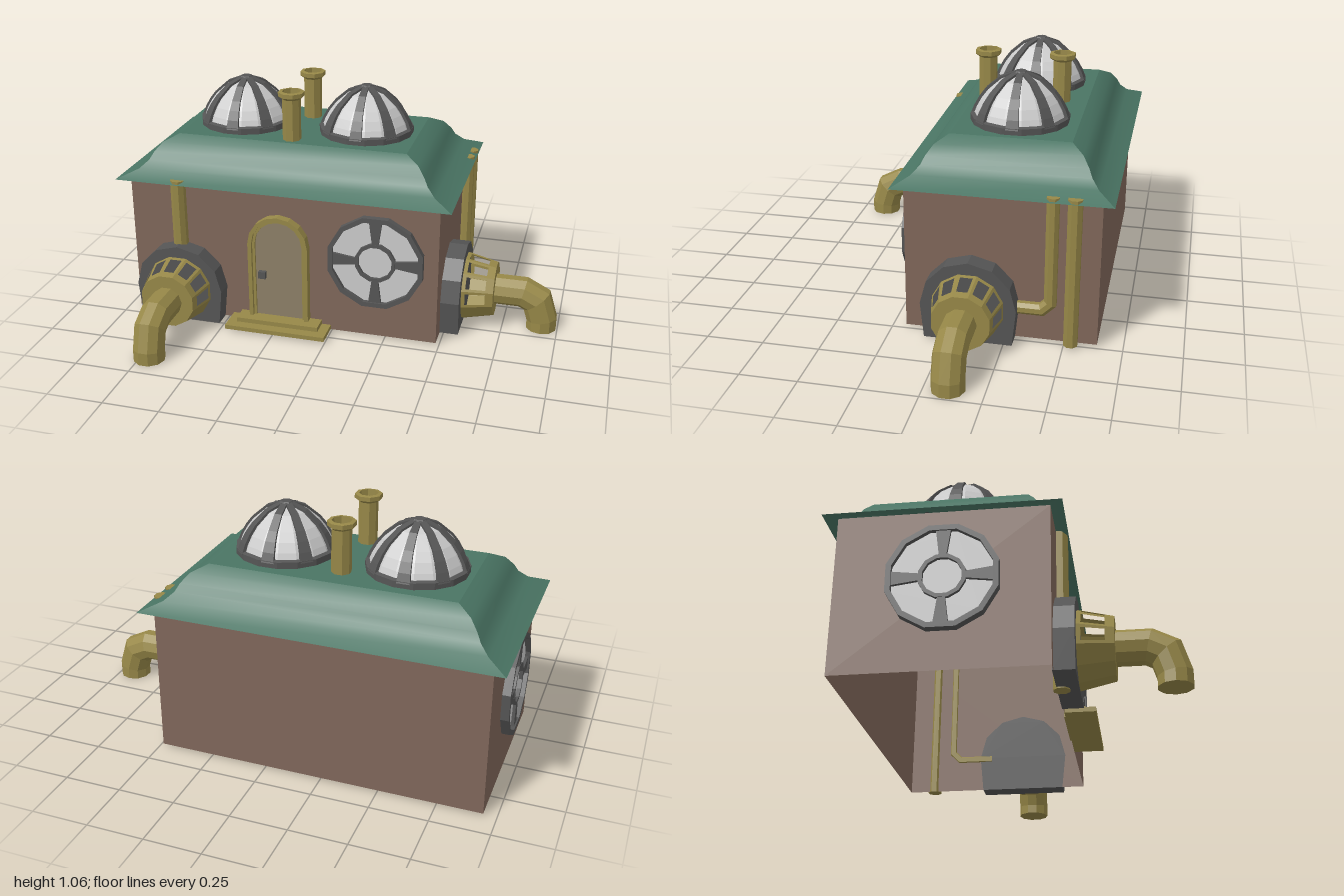
import * as THREE from 'three';

const mat = (color, extra = {}) => new THREE.MeshStandardMaterial({ color, flatShading: true, side: THREE.DoubleSide, ...extra });
const BRICK = mat(0x80675a), GREEN = mat(0x4a7564, { flatShading: false }), BRASS = mat(0x978848);
const IRON = mat(0x555555), GLASS = mat(0xcccccc), DOOR = mat(0x8d8068);
const V = (x, y, z) => new THREE.Vector3(x, y, z);

function add(parent, name, geometry, material, x = 0, y = 0, z = 0) {
  const m = new THREE.Mesh(geometry, material);
  m.name = name;
  m.position.set(x, y, z);
  parent.add(m);
  return m;
}

// Geometry from a list of four-cornered faces
function quads(list) {
  const pts = list.flatMap(([a, b, c, d]) => [a, b, c, a, c, d]);
  const g = new THREE.BufferGeometry().setFromPoints(pts);
  g.computeVertexNormals();
  return g;
}

// Mitred pipe along [y, z] points in a plane of constant x
function pipe(path, r, sides = 8) {
  const p = path.map(([y, z]) => V(0, y, z)), B = V(1, 0, 0), n = p.length;
  const rings = p.map((c, i) => {
    const d0 = p[Math.max(i, 1)].clone().sub(p[Math.max(i, 1) - 1]).normalize();
    const j = Math.min(i, n - 2), d1 = p[j + 1].clone().sub(p[j]).normalize();
    const t = d0.clone().add(d1).normalize(), N = B.clone().cross(t), k = r / t.dot(d0);
    return Array.from({ length: sides }, (_, s) => {
      const a = (s + 0.5) / sides * Math.PI * 2;
      return c.clone().addScaledVector(N, Math.cos(a) * k).addScaledVector(B, Math.sin(a) * r);
    });
  });
  const faces = [];
  for (let s = 0; s < sides; s++) {
    const e = (s + 1) % sides;
    for (let i = 0; i < n - 1; i++) faces.push([rings[i][s], rings[i][e], rings[i + 1][e], rings[i + 1][s]]);
    faces.push([p[n - 1], rings[n - 1][s], rings[n - 1][e], p[n - 1]]);
    faces.push([p[0], rings[0][e], rings[0][s], p[0]]);
  }
  return quads(faces);
}

const polygon = (r, sides, turn = 0) => Array.from({ length: sides }, (_, i) => {
  const a = (i + turn) / sides * Math.PI * 2;
  return new THREE.Vector2(Math.cos(a) * r, Math.sin(a) * r);
});

function extrude(outer, depth, hole) {
  const s = new THREE.Shape(outer);
  if (hole) s.holes.push(new THREE.Path(hole));
  return new THREE.ExtrudeGeometry(s, { depth, bevelEnabled: false });
}

// Roof: four curved slopes that meet at sharp hips, and a flat top
function roof(group) {
  const g = new THREE.Group();
  g.name = 'roof';
  const profile = [[0, 0.665], [0.36, 0.7], [0.52, 0.735], [0.6, 0.77], [0.74, 0.81], [1, 0.84]];
  const signs = [[-1, 1], [1, 1], [1, -1], [-1, -1]];
  for (let k = 0; k < 4; k++) {
    const pts = [], index = [];
    profile.forEach(([t, y], i) => {
      for (const [sx, sz] of [signs[k], signs[(k + 1) % 4]]) pts.push(V(sx * (0.77 - 0.24 * t), y, sz * (0.465 - 0.205 * t)));
      const a = i * 2;
      if (i < profile.length - 1) index.push(a, a + 1, a + 3, a, a + 3, a + 2);
    });
    const geo = new THREE.BufferGeometry().setFromPoints(pts);
    geo.setIndex(index);
    geo.computeVertexNormals();
    add(g, 'roofSlope', geo, GREEN);
  }
  add(g, 'roofTop', new THREE.PlaneGeometry(1.06, 0.52).rotateX(-Math.PI / 2), GREEN, 0, 0.84, 0);
  g.position.set(-0.23, 0, -0.225);
  group.add(g);
}

// Glass dome with an iron rim and eight ribs
function dome() {
  const g = new THREE.Group();
  g.name = 'dome';
  const profile = [[0.215, 0.02], [0.2, 0.06], [0.178, 0.1], [0.15, 0.137], [0.09, 0.19], [0.02, 0.218]];
  const glass = [...profile.map(([r, y]) => new THREE.Vector2(r * 0.95, y * 0.96)), new THREE.Vector2(0, 0.21)];
  add(g, 'domeGlass', new THREE.LatheGeometry(glass, 16, Math.PI / 16), GLASS);
  const rim = [[0.205, 0], [0.217, 0], [0.217, 0.028], [0.195, 0.034]].map(([r, y]) => new THREE.Vector2(r, y));
  add(g, 'domeRim', new THREE.LatheGeometry(rim, 16, Math.PI / 16), IRON);
  const faces = [];
  const sections = profile.map(([r, y], i) => {
    const w = 0.028 - 0.003 * i;
    return [V(r * 0.93, y * 0.94, w), V(r, y, w), V(r, y, -w), V(r * 0.93, y * 0.94, -w)];
  });
  for (let i = 0; i < sections.length - 1; i++) {
    for (let k = 0; k < 3; k++) faces.push([sections[i][k], sections[i][k + 1], sections[i + 1][k + 1], sections[i + 1][k]]);
  }
  const rib = quads(faces);
  for (let i = 0; i < 8; i++) add(g, 'domeRib', rib, IRON).rotation.y = i * Math.PI / 4;
  add(g, 'domeHub', new THREE.CylinderGeometry(0.025, 0.035, 0.012, 8), IRON, 0, 0.214, 0);
  return g;
}

// Round window with a small inner ring and four tapered spokes
function roundWindow() {
  const g = new THREE.Group();
  g.name = 'roundWindow';
  add(g, 'windowFrame', extrude(polygon(0.222, 12, 0.5), 0.035, polygon(0.2, 12, 0.5)), IRON);
  add(g, 'windowGlass', extrude(polygon(0.202, 12, 0.5), 0.015), GLASS);
  add(g, 'windowHub', extrude(polygon(0.093, 12, 0.5), 0.03, polygon(0.077, 12, 0.5)), IRON);
  const spoke = extrude([[0.085, -0.014], [0.205, -0.03], [0.205, 0.03], [0.085, 0.014]].map(p => new THREE.Vector2(...p)), 0.028);
  for (let i = 0; i < 4; i++) add(g, 'windowSpoke', spoke, IRON).rotation.z = i * Math.PI / 2;
  return g;
}

// Outlet: iron collar, tapered cage with open upper panels, bent pipe
function outlet() {
  const g = new THREE.Group(), cy = 0.17;
  g.name = 'outlet';
  const collar = polygon(0.206, 12).slice(0, 7).map(p => p.setY(p.y + cy));
  collar.push(new THREE.Vector2(-0.19, 0.01), new THREE.Vector2(0.19, 0.01));
  add(g, 'collar', extrude(collar, 0.085), IRON);
  const big = polygon(0.157, 12, -0.5), small = polygon(0.126, 12, -0.5), faces = [];
  for (let i = 0; i < 12; i++) {
    const j = (i + 1) % 12;
    const at = (u, v) => {
      const p = big[i].clone().lerp(big[j], u).lerp(small[i].clone().lerp(small[j], u), v);
      return V(p.x, p.y + cy, 0.085 + v * 0.14);
    };
    const patch = (u0, u1, v0, v1) => faces.push([at(u0, v0), at(u1, v0), at(u1, v1), at(u0, v1)]);
    if (i > 6) patch(0, 1, 0, 1);
    else {
      patch(0, 1, 0, 0.12);
      patch(0, 1, 0.75, 1);
      patch(0, 0.16, 0.12, 0.75);
      patch(0.84, 1, 0.12, 0.75);
    }
  }
  add(g, 'cage', quads(faces), BRASS);
  add(g, 'cageEnd', extrude(polygon(0.126, 12, -0.5), 0.012), BRASS, 0, cy, 0.213);
  add(g, 'outletPipe', pipe([[cy, 0.215], [cy, 0.35], [0.137, 0.415], [0.05, 0.442], [0, 0.442]], 0.07, 10), BRASS);
  return g;
}

// Arched outline for the door and its frame
function arch(w, top, bottom = 0.03) {
  const pts = [new THREE.Vector2(-w, bottom), new THREE.Vector2(w, bottom)];
  for (let i = 0; i <= 8; i++) {
    const a = i / 8 * Math.PI;
    pts.push(new THREE.Vector2(Math.cos(a) * w, top - w + Math.sin(a) * w));
  }
  return pts;
}

function entrance(group) {
  const g = new THREE.Group();
  g.name = 'entrance';
  add(g, 'doorFrame', extrude(arch(0.14, 0.555), 0.05, arch(0.122, 0.537, 0.031)), BRASS, 0, 0, -0.01);
  add(g, 'doorFrameInner', extrude(arch(0.124, 0.539), 0.035, arch(0.11, 0.525, 0.031)), BRASS, 0, 0, -0.01);
  add(g, 'door', extrude(arch(0.112, 0.527), 0.015), DOOR);
  add(g, 'doorHandle', new THREE.BoxGeometry(0.034, 0.034, 0.03), IRON, -0.078, 0.26, 0.02);
  add(g, 'lowerStep', new THREE.BoxGeometry(0.47, 0.02, 0.125), BRASS, 0.003, 0.022, 0.0625);
  add(g, 'upperStep', new THREE.BoxGeometry(0.385, 0.022, 0.08), BRASS, 0.003, 0.042, 0.04);
  g.position.set(-0.24, 0, 0.19);
  group.add(g);
}

export function createModel() {
  const group = new THREE.Group();
  group.name = 'house';
  // Walls, open below
  const box = new THREE.CylinderGeometry(Math.SQRT1_2, Math.SQRT1_2, 1, 4, 1, true).rotateY(Math.PI / 4).scale(1.43, 0.665, 0.83);
  add(group, 'walls', box, BRICK, -0.23, 0.3425, -0.225);
  roof(group);
  entrance(group);
  const place = (part, x, y, z, turn = 0) => {
    part.position.set(x, y, z);
    part.rotation.y = turn;
    group.add(part);
  };
  for (const x of [-0.522, 0.057]) place(dome(), x, 0.84, -0.225);
  place(roundWindow(), 0.206, 0.382, 0.185);
  place(roundWindow(), -0.945, 0.382, -0.215, -Math.PI / 2);
  place(outlet(), -0.706, 0, 0.185);
  place(outlet(), 0.484, 0, -0.1, Math.PI / 2);

  // Chimneys, hollow at the flared top
  const flue = [[0.042, 0], [0.042, 0.19], [0.06, 0.203], [0.06, 0.222], [0.042, 0.225], [0.036, 0.1], [0, 0.1]];
  const chimney = new THREE.LatheGeometry(flue.map(p => new THREE.Vector2(...p)), 8, Math.PI / 8);
  for (const z of [-0.365, -0.024]) add(group, 'chimney', chimney, BRASS, -0.24, 0.84, z);

  // Wall pipes
  add(group, 'frontDownpipe', pipe([[0.68, 0.203], [0.005, 0.203]], 0.034), BRASS, -0.711);
  add(group, 'sideDownpipe', pipe([[0.68, -0.53], [0.01, -0.53]], 0.032), BRASS, 0.507);
  add(group, 'feedPipe', pipe([[0.68, -0.44], [0.2, -0.44], [0.165, -0.405], [0.165, -0.25]], 0.028), BRASS, 0.507);
  return group;
}
